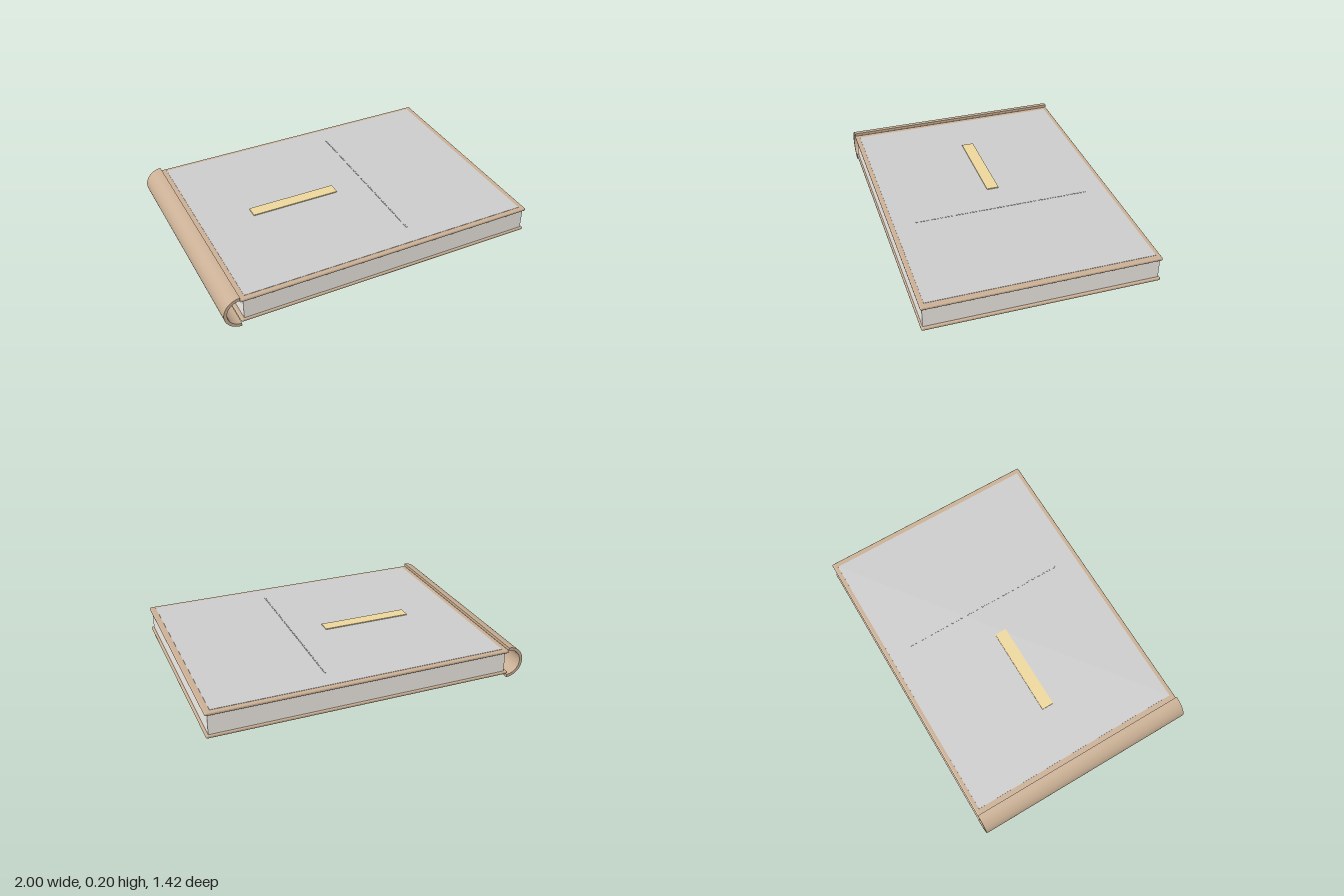
import * as THREE from 'three';
import { RoundedBoxGeometry } from 'three/addons/geometries/RoundedBoxGeometry.js';

const paint = (color) => new THREE.MeshStandardMaterial({ color });

export function createModel() {
  const book = new THREE.Group();
  const leather = paint(0xc9af94);
  const paper = paint(0xf0ece6);
  const grey = paint(0xcccccc);
  const gold = paint(0xecd69c);

  function add(name, geometry, material, x = 0, y = 0, z = 0, parent = book) {
    const mesh = new THREE.Mesh(geometry, material);
    mesh.name = name;
    mesh.position.set(x, y, z);
    parent.add(mesh);
    return mesh;
  }

  // Page block
  add('pages', new THREE.BoxGeometry(1.865, 0.13, 1.4), paper, 0.053, 0.105, 0);

  // Two boards with softly rounded edges
  const board = new RoundedBoxGeometry(1.9, 0.02, 1.42, 3, 0.008);
  add('backCover', board, leather, 0.05, 0.033, 0);
  add('frontCover', board, leather, 0.05, 0.177, 0);

  // Hollow half-round spine
  const arc = new THREE.Shape();
  arc.absarc(0, 0, 0.102, Math.PI / 2, Math.PI * 1.5, false);
  arc.absarc(0, 0, 0.083, Math.PI * 1.5, Math.PI / 2, true);
  arc.closePath();
  const spine = new THREE.ExtrudeGeometry(arc, { depth: 1.42, bevelEnabled: false, curveSegments: 32 });
  add('spine', spine, leather, -0.898, 0.102, -0.71);

  // Inset panel on the front cover, leaving a leather border
  add('coverPanel', new THREE.BoxGeometry(1.83, 0.004, 1.365), grey, 0.05, 0.187, 0);

  // Raised title plate
  add('titlePlate', new THREE.BoxGeometry(0.57, 0.006, 0.076), gold, -0.255, 0.192, -0.003);

  // Row of fine stitches across the panel
  const stitching = new THREE.Group();
  stitching.name = 'stitching';
  const stitch = new THREE.BoxGeometry(0.008, 0.003, 0.014);
  const count = 50;
  for (let i = 0; i < count; i++) {
    add('stitch', stitch, grey, 0.24, 0.19, -0.543 + (1.086 * i) / (count - 1), stitching);
  }
  book.add(stitching);

  return book;
}
